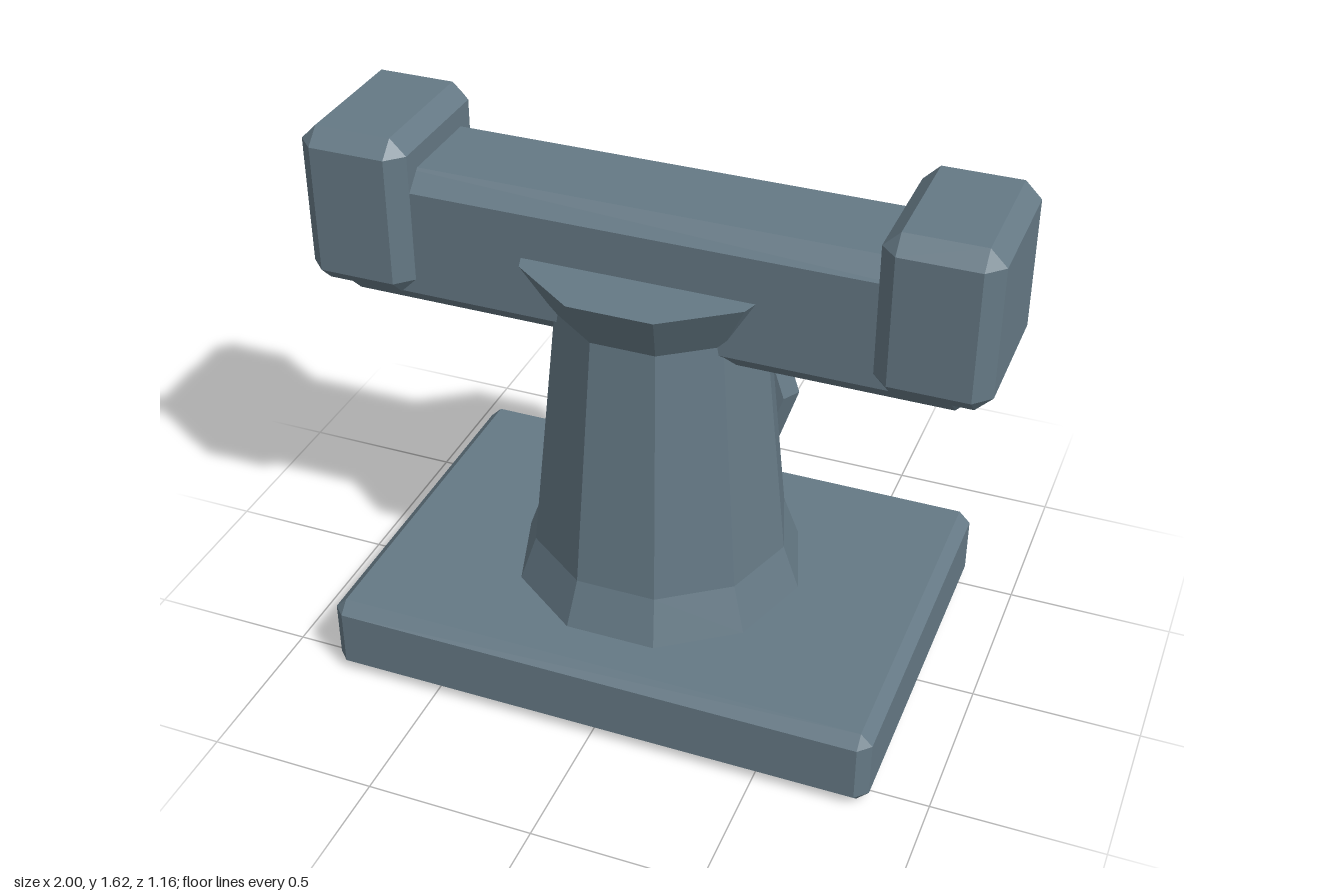
import * as THREE from 'three';
import { ConvexGeometry } from 'three/addons/geometries/ConvexGeometry.js';

const slate = new THREE.MeshStandardMaterial({ color: 0x657985 });

// Faceted normals: every face keeps its own flat normal.
function faceted(geometry) {
  const flat = geometry.index ? geometry.toNonIndexed() : geometry;
  flat.computeVertexNormals();
  return flat;
}

// Box with chamfered edges and triangular corners.
function chamferBox(w, h, d, c) {
  const points = [];
  for (const sx of [-1, 1]) for (const sy of [-1, 1]) for (const sz of [-1, 1]) {
    for (let axis = 0; axis < 3; axis++) {
      const half = [w / 2 - c, h / 2 - c, d / 2 - c];
      half[axis] += c;
      points.push(new THREE.Vector3(sx * half[0], sy * half[1], sz * half[2]));
    }
  }
  return new ConvexGeometry(points);
}

export function createModel() {
  const model = new THREE.Group();
  model.name = 'pedestalWithCrossbeam';

  function add(name, geometry, x, y, z) {
    const mesh = new THREE.Mesh(faceted(geometry), slate);
    mesh.name = name;
    mesh.position.set(x, y, z);
    model.add(mesh);
  }

  // Base slab
  add('base', chamferBox(1.67, 0.245, 1.16, 0.035), 0, 0.1225, 0);

  // Ten-sided column: spread foot, tapering shaft, flared and capped collar
  const profile = [[0, 0.2], [0.44, 0.2], [0.44, 0.245], [0.39, 0.385], [0.31, 1.165], [0.405, 1.325], [0, 1.325]]
    .map(([r, y]) => new THREE.Vector2(r, y));
  add('column', new THREE.LatheGeometry(profile, 10, Math.PI / 2), 0, 0, 0);

  // Crossbeam and the larger block at each end
  add('crossbeam', chamferBox(1.89, 0.43, 0.385, 0.055), 0, 1.3, 0);
  for (const side of [-1, 1]) {
    add(side > 0 ? 'leftEndBlock' : 'rightEndBlock',
      chamferBox(0.325, 0.485, 0.485, 0.048), side * 0.8375, 1.38, 0);
  }

  // Ring on the back of the column
  add('backRing', new THREE.TorusGeometry(0.244, 0.0635, 6, 10), 0, 0.6925, -0.365);

  return model;
}
